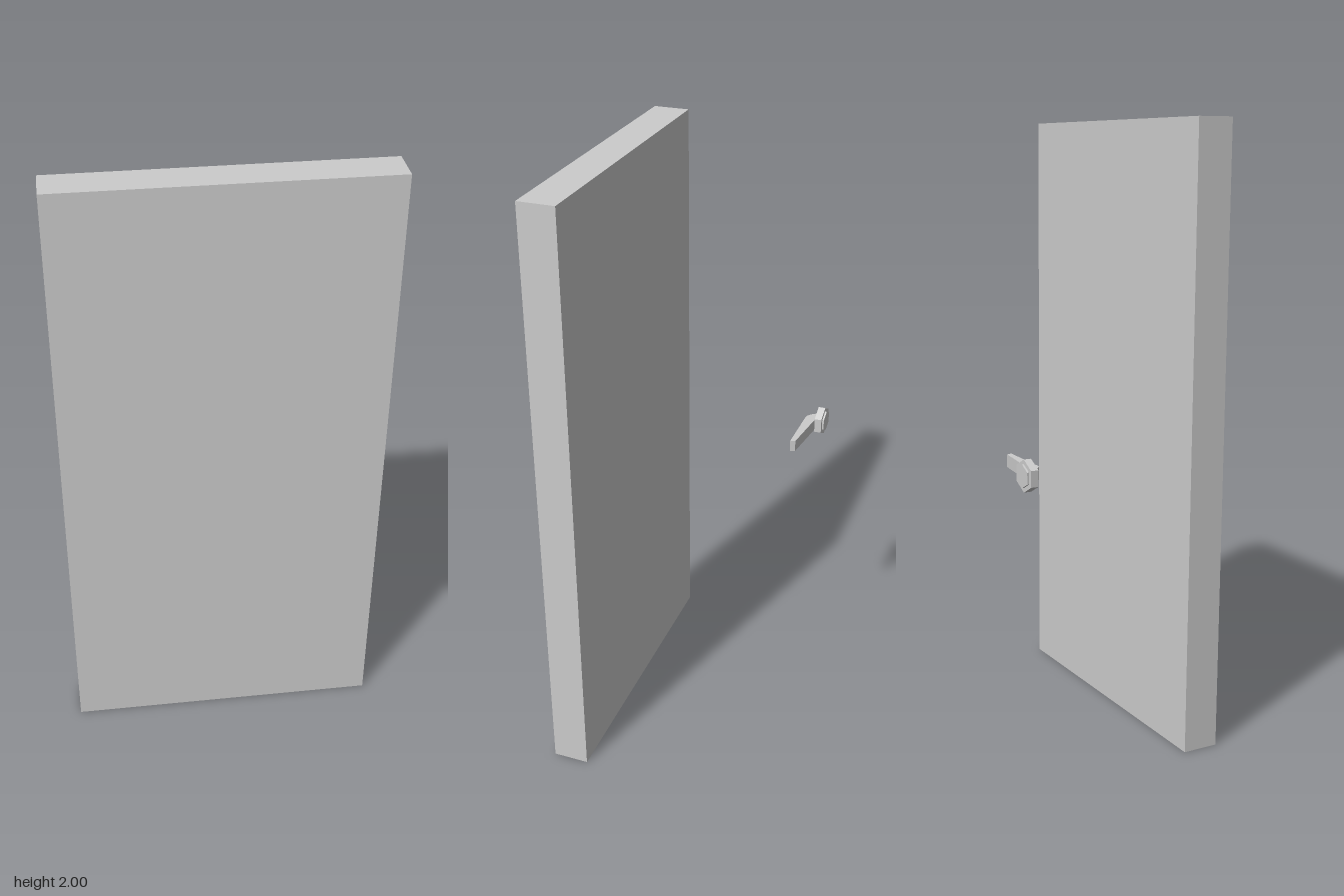
import * as THREE from 'three';

const material = new THREE.MeshStandardMaterial({ color: 0xcccccc, flatShading: true });

function addPart(parent, name, geometry, x, y, z) {
  const mesh = new THREE.Mesh(geometry, material);
  mesh.name = name;
  mesh.position.set(x, y, z);
  parent.add(mesh);
  return mesh;
}

// Six-sided disc facing z, with a corner pointing up
function hexDisc(halfWidth, halfHeight, depth) {
  const geometry = new THREE.CylinderGeometry(1, 1, depth, 6);
  geometry.rotateX(Math.PI / 2);
  return geometry.scale(halfWidth / Math.cos(Math.PI / 6), halfHeight, 1);
}

export function createModel() {
  const model = new THREE.Group();

  // Plain door slab
  addPart(model, 'doorPanel', new THREE.BoxGeometry(1.014, 2, 0.12), 0, 1, 0.272);

  // Handle standing apart behind the slab
  const handle = new THREE.Group();
  handle.name = 'handle';
  model.add(handle);
  addPart(handle, 'rosette', hexDisc(0.047, 0.05, 0.024), -0.432, 0.966, -0.316);
  addPart(handle, 'rosetteCap', hexDisc(0.034, 0.036, 0.006), -0.432, 0.966, -0.331);

  // Bent, tapering lever: its outline from above as (x, -z), extruded upward
  const outline = [
    [-0.446, 0.305], [-0.432, 0.284], [-0.415, 0.269], [-0.403, 0.266],
    [-0.22, 0.264], [-0.225, 0.281], [-0.395, 0.302], [-0.405, 0.305],
  ].map(([x, y]) => new THREE.Vector2(x, y));
  const lever = new THREE.ExtrudeGeometry(new THREE.Shape(outline), { depth: 0.04, bevelEnabled: false });
  lever.rotateX(-Math.PI / 2);
  addPart(handle, 'lever', lever, 0, 0.944, 0);

  return model;
}
